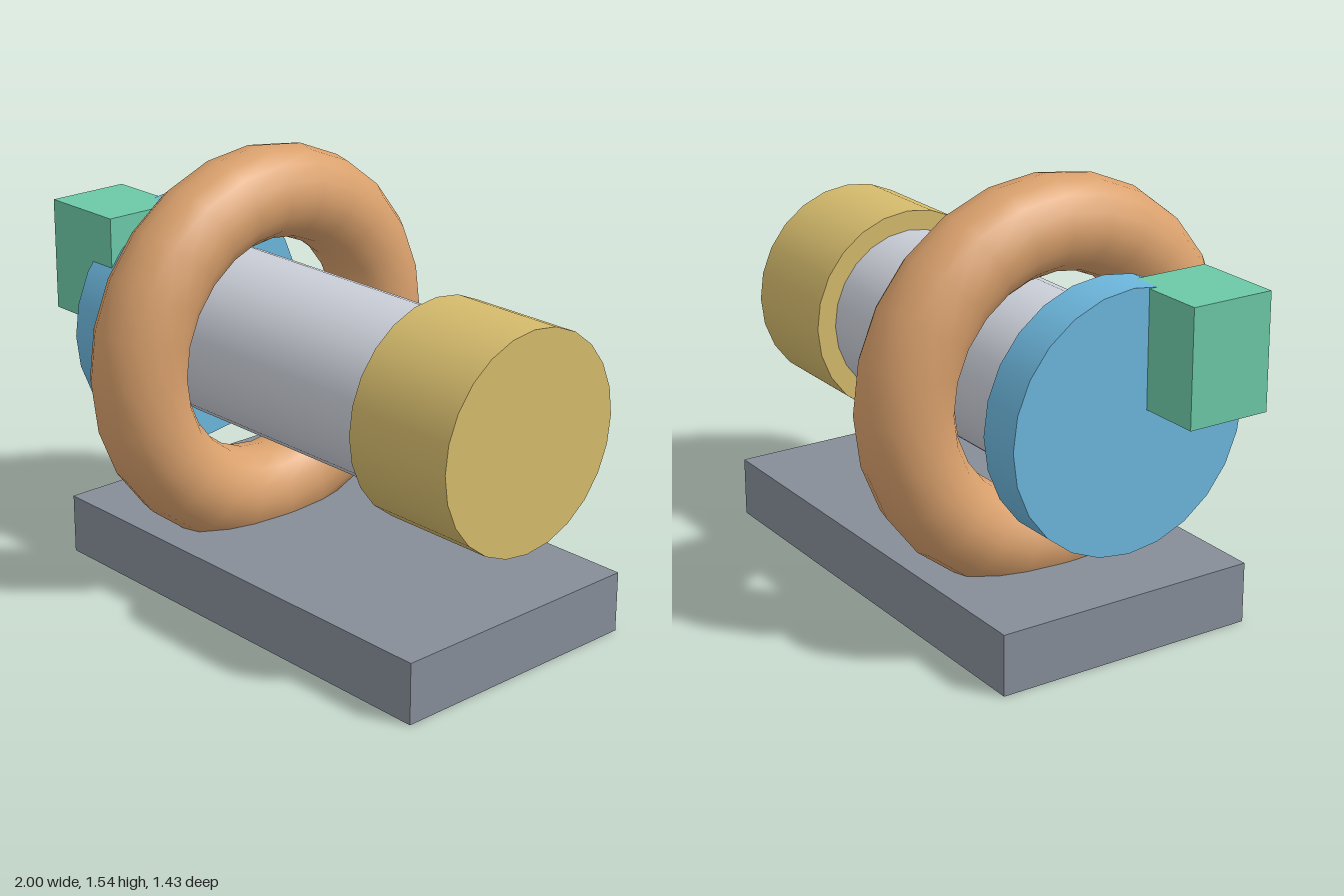
import * as THREE from 'three';

const AXIS_Y = 0.825; // height of the shared horizontal axis

function material(name, color) {
  const m = new THREE.MeshStandardMaterial({ color });
  m.name = name;
  return m;
}

export function createModel() {
  const model = new THREE.Group();
  model.name = 'ringAndShaftAssembly';

  const add = (name, geometry, mat, x, y, z) => {
    const mesh = new THREE.Mesh(geometry, mat);
    mesh.name = name;
    mesh.position.set(x, y, z);
    model.add(mesh);
  };

  // Box given by its extents along each axis
  const box = (name, mat, [x0, x1], [y0, y1], [z0, z1]) =>
    add(name, new THREE.BoxGeometry(x1 - x0, y1 - y0, z1 - z0), mat,
      (x0 + x1) / 2, (y0 + y1) / 2, (z0 + z1) / 2);

  // Cylinder lying along x on the shared axis
  const drum = (name, mat, radius, x0, x1) =>
    add(name, new THREE.CylinderGeometry(radius, radius, x1 - x0, 24).rotateZ(Math.PI / 2), mat,
      (x0 + x1) / 2, AXIS_Y, 0);

  // Base slab
  box('base', material('slateGrey', 0x868d98), [-0.78, 0.975], [0, 0.217], [-0.488, 0.488]);

  // Shaft, end cap and separate disc
  drum('shaft', material('silver', 0xc9cdd6), 0.308, -0.476, 0.6);
  drum('endCap', material('gold', 0xd4ba6c), 0.38, 0.572, 1);
  drum('disc', material('skyBlue', 0x6cb6dc), 0.452, -0.775, -0.609);

  // Ring around the shaft, sunk into the base
  add('ring', new THREE.TorusGeometry(0.549, 0.165, 16, 24).rotateY(Math.PI / 2),
    material('copper', 0xd9a06c), -0.29, AXIS_Y, 0);

  // Block set into the disc
  box('block', material('mintGreen', 0x6cc9a8), [-1, -0.667], [0.86, 1.265], [0.06, 0.365]);

  return model;
}
